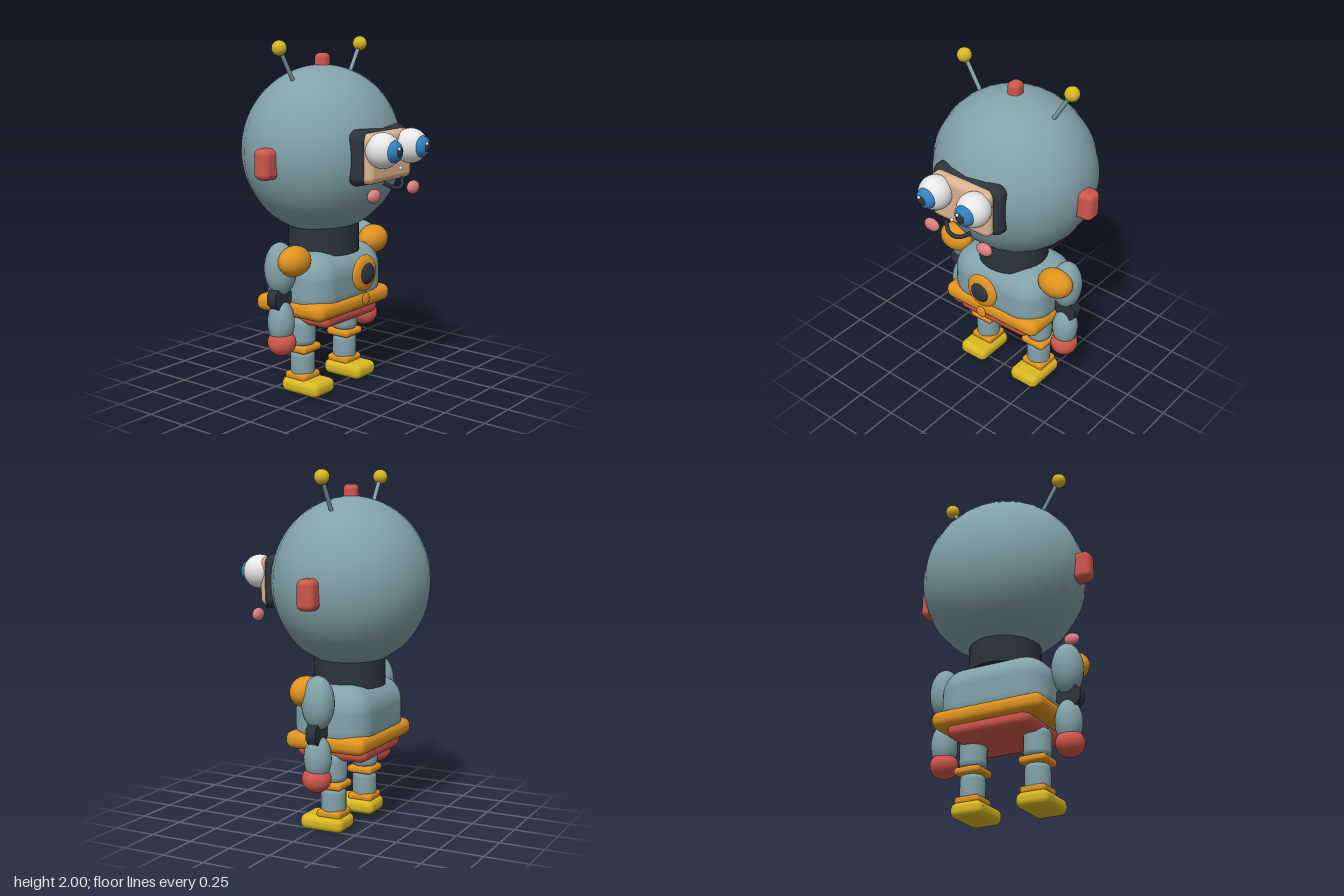
import * as THREE from 'three';
import { RoundedBoxGeometry } from 'three/addons/geometries/RoundedBoxGeometry.js';

const mat = (name, color) => {
  const m = new THREE.MeshStandardMaterial({ color });
  m.name = name;
  return m;
};

export function createModel() {
  const shell = mat('shellBlueGrey', 0x82a3aa);
  const orange = mat('orange', 0xe0931f);
  const yellow = mat('yellow', 0xd8b822);
  const red = mat('red', 0xd0574b);
  const dark = mat('charcoal', 0x2c343e);
  const skin = mat('skin', 0xdcb48e);
  const white = mat('white', 0xeeeeee);
  const blue = mat('irisBlue', 0x2f82c2);
  const pink = mat('cheekPink', 0xdf8081);

  const robot = new THREE.Group();
  robot.name = 'robot';
  const AXIS_Z = -0.09; // body centre line

  const add = (name, geometry, material, [x, y, z], parent = robot) => {
    const mesh = new THREE.Mesh(geometry, material);
    mesh.name = name;
    mesh.position.set(x, y, z);
    parent.add(mesh);
    return mesh;
  };
  const box = (name, material, [w, h, d], r, pos, parent) =>
    add(name, new RoundedBoxGeometry(w, h, d, 4, r), material, pos, parent);
  const ball = (name, material, [rx, ry, rz], pos, parent, segments = 24) =>
    add(name, new THREE.SphereGeometry(1, segments, 16).scale(rx, ry, rz), material, pos, parent);

  // Upright cylinder with rounded rims
  const roundedCylinder = (name, material, radius, height, r, pos, parent) => {
    const pts = [new THREE.Vector2(0, -height / 2)];
    for (const side of [-1, 1]) {
      for (let i = 0; i <= 5; i++) {
        const a = (side < 0 ? i - 5 : i) * Math.PI / 10;
        pts.push(new THREE.Vector2(radius - r + r * Math.cos(a), side * (height / 2 - r) + r * Math.sin(a)));
      }
    }
    pts.push(new THREE.Vector2(0, height / 2));
    return add(name, new THREE.LatheGeometry(pts, 24), material, pos, parent);
  };

  // Head and neck
  add('head', new THREE.SphereGeometry(1, 24, 32).scale(0.478, 0.475, 0.44), shell, [0, 1.38, -0.1]);
  box('topKnob', red, [0.076, 0.14, 0.082], 0.03, [0, 1.85, -0.097]);
  add('neck', new THREE.CylinderGeometry(0.203, 0.203, 0.22, 32), dark, [0, 0.91, AXIS_Z]);

  // Face
  box('faceMask', dark, [0.47, 0.305, 0.13], 0.055, [0, 1.382, 0.28]);
  box('facePlate', skin, [0.4, 0.275, 0.12], 0.04, [0, 1.378, 0.326]);
  ball('nose', white, [0.011, 0.011, 0.011], [0, 1.32, 0.44]);
  const mouthPoints = [[-0.09, 1.248, 0.388], [-0.045, 1.22, 0.42], [0, 1.212, 0.43], [0.045, 1.22, 0.42], [0.09, 1.248, 0.388]]
    .map((p) => new THREE.Vector3(...p));
  add('mouth', new THREE.TubeGeometry(new THREE.CatmullRomCurve3(mouthPoints), 24, 0.012, 8), dark, [0, 0, 0]);

  // Torso
  box('torso', shell, [0.65, 0.39, 0.46], 0.15, [0, 0.635, AXIS_Z]);
  box('belt', orange, [0.67, 0.1, 0.486], 0.045, [0, 0.515, AXIS_Z]);
  box('hips', red, [0.5, 0.1, 0.43], 0.045, [0, 0.455, AXIS_Z]);
  ball('chestDisc', orange, [0.105, 0.105, 0.03], [0, 0.7, 0.2]);
  ball('chestLens', dark, [0.06, 0.06, 0.025], [0, 0.7, 0.222]);
  ball('beltButton', orange, [0.035, 0.035, 0.01], [0, 0.553, 0.212]);

  for (const [side, s] of [['left', 1], ['right', -1]]) {
    const group = (name) => {
      const g = new THREE.Group();
      g.name = side + name;
      robot.add(g);
      return g;
    };

    // Ear and antenna
    box(side + 'Ear', red, [0.14, 0.17, 0.104], 0.035, [s * 0.477, 1.35, AXIS_Z - 0.003]);
    const antenna = group('Antenna');
    const base = new THREE.Vector3(s * 0.235, 1.755, -0.103);
    const tip = new THREE.Vector3(s * 0.36, 1.958, -0.105);
    add('antennaRod', new THREE.TubeGeometry(new THREE.LineCurve3(base, tip), 1, 0.012, 10), shell, [0, 0, 0], antenna);
    ball('antennaBall', yellow, [0.042, 0.042, 0.042], [tip.x, tip.y, tip.z], antenna);

    // Eye and cheek
    const eye = group('Eye');
    ball('eyeball', white, [0.095, 0.097, 0.095], [s * 0.132, 1.427, 0.415], eye);
    ball('iris', blue, [0.06, 0.06, 0.045], [s * 0.132, 1.427, 0.485], eye);
    ball('pupil', dark, [0.03, 0.03, 0.02], [s * 0.132, 1.427, 0.517], eye);
    ball('highlight', white, [0.01, 0.01, 0.008], [s * 0.132 - 0.014, 1.447, 0.53], eye);
    ball(side + 'Cheek', pink, [0.05, 0.038, 0.027], [s * 0.185, 1.187, 0.398]);

    // Arm
    const arm = group('Arm');
    ball('upperArm', shell, [0.088, 0.15, 0.092], [s * 0.383, 0.755, -0.092], arm);
    ball('shoulderPad', orange, [0.108, 0.085, 0.08], [s * 0.365, 0.808, -0.005], arm);
    const elbow = new THREE.CylinderGeometry(0.074, 0.074, 0.06, 8).rotateY(Math.PI / 8).rotateX(Math.PI / 2);
    add('elbow', elbow.toNonIndexed(), dark, [s * 0.397, 0.592, AXIS_Z], arm);
    ball('forearm', shell, [0.075, 0.13, 0.077], [s * 0.384, 0.45, AXIS_Z], arm);
    ball('hand', red, [0.08, 0.075, 0.082], [s * 0.386, 0.335, -0.084], arm);

    // Leg
    const leg = group('Leg');
    const x = s * 0.197;
    roundedCylinder('thigh', shell, 0.077, 0.18, 0.045, [x, 0.36, AXIS_Z], leg);
    box('kneeBand', orange, [0.16, 0.045, 0.16], 0.02, [x, 0.263, AXIS_Z], leg);
    roundedCylinder('shin', shell, 0.071, 0.17, 0.04, [x, 0.17, AXIS_Z], leg);
    box('ankleBand', orange, [0.15, 0.045, 0.15], 0.018, [x, 0.098, AXIS_Z], leg);
    box('foot', yellow, [0.192, 0.088, 0.265], 0.038, [x, 0.044, -0.05], leg);
  }

  return robot;
}
